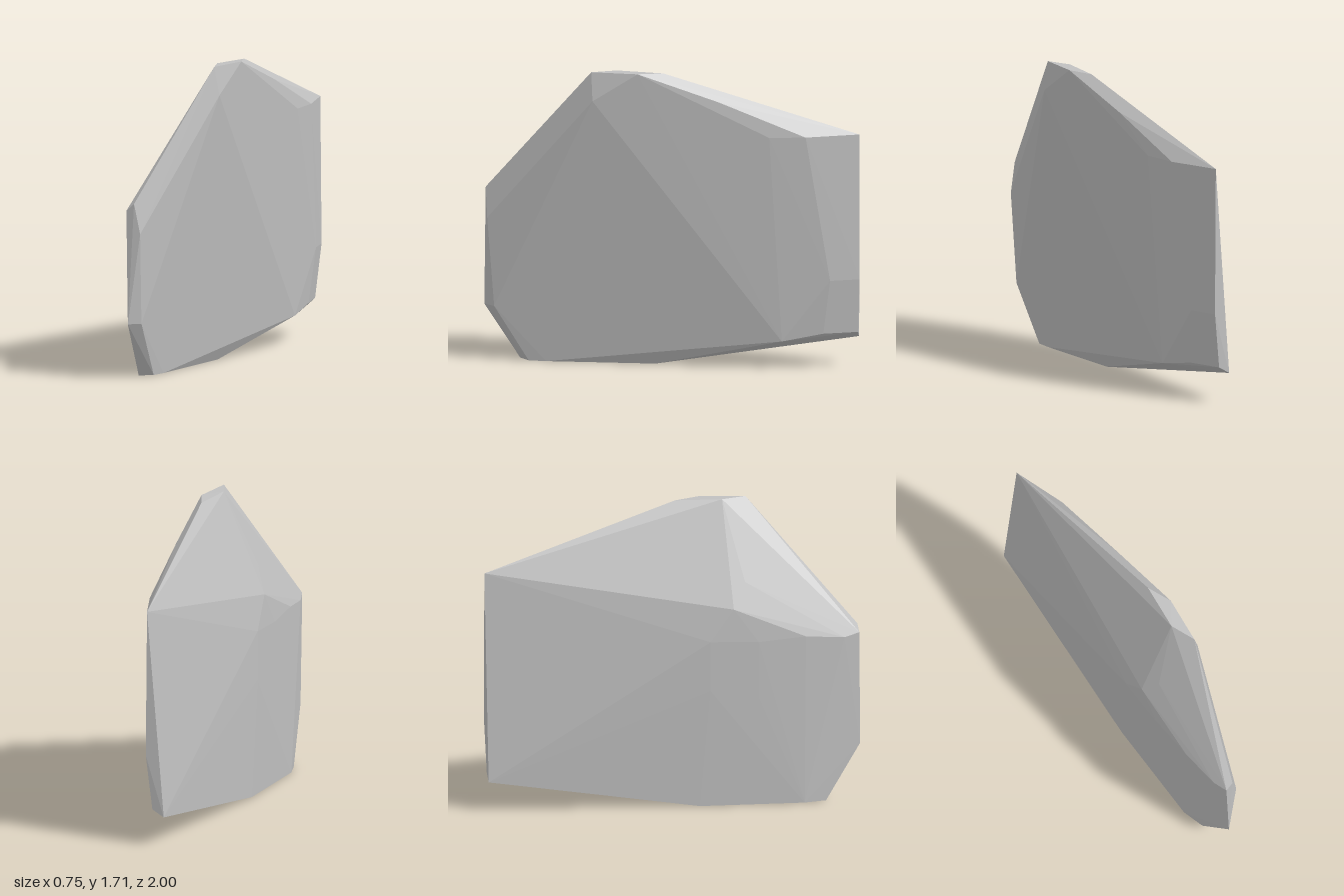
import * as THREE from 'three';
import { ConvexGeometry } from 'three/addons/geometries/ConvexGeometry.js';

// Faceted stone slab: the convex skin around a few corner points [x, y, z]
const crown = [
  [0.03, 1.71, 0.48], [0.02, 1.71, 0.33], [0.14, 1.71, 0.24], [0.13, 1.705, 0.09],
  [0.06, 1.55, 0.48], [0.25, 1.55, -0.2],
];
const rearEnd = [
  [0.33, 1.35, -0.47], [0.37, 1.35, -0.67], [0.365, 1.35, -0.98],
  [0.372, 0.52, -0.81], [0.372, 0.52, -0.98],
  [0.335, 0.21, -0.78], [0.335, 0.21, -0.98], [0.27, 0.17, -1.0], [0.3, 0.17, -0.55],
];
const frontEnd = [
  [-0.33, 1.0, 1.0], [-0.375, 0.96, 0.99], [-0.372, 0.94, 0.9], [-0.295, 0.83, 1.0],
  [-0.295, 0.32, 0.96], [-0.365, 0.32, 1.0],
];
const base = [
  [-0.34, 0.005, 0.8], [-0.26, 0.005, 0.77], [-0.22, 0.005, 0.68],
  [-0.02, 0.005, 0.1], [-0.15, 0.005, 0.11], [-0.335, 0.005, 0.67],
];
const backBulge = [
  [-0.18, 0.95, 0.16], [-0.18, 0.67, 0.16],
  [-0.26, 0.94, 0.42], [-0.26, 0.62, 0.42], [-0.33, 0.96, 0.68],
  [-0.21, 1.13, 0.29], [-0.17, 1.27, 0.38],
];

export function createModel() {
  const stone = new THREE.MeshStandardMaterial({ color: 0xc0c0c0 });
  stone.name = 'stoneGrey';
  stone.flatShading = true;

  const points = [...crown, ...rearEnd, ...frontEnd, ...base, ...backBulge]
    .map((p) => new THREE.Vector3(...p));
  const slab = new THREE.Mesh(new ConvexGeometry(points), stone);
  slab.name = 'rockSlab';

  const group = new THREE.Group();
  group.name = 'rock';
  group.add(slab);
  return group;
}
